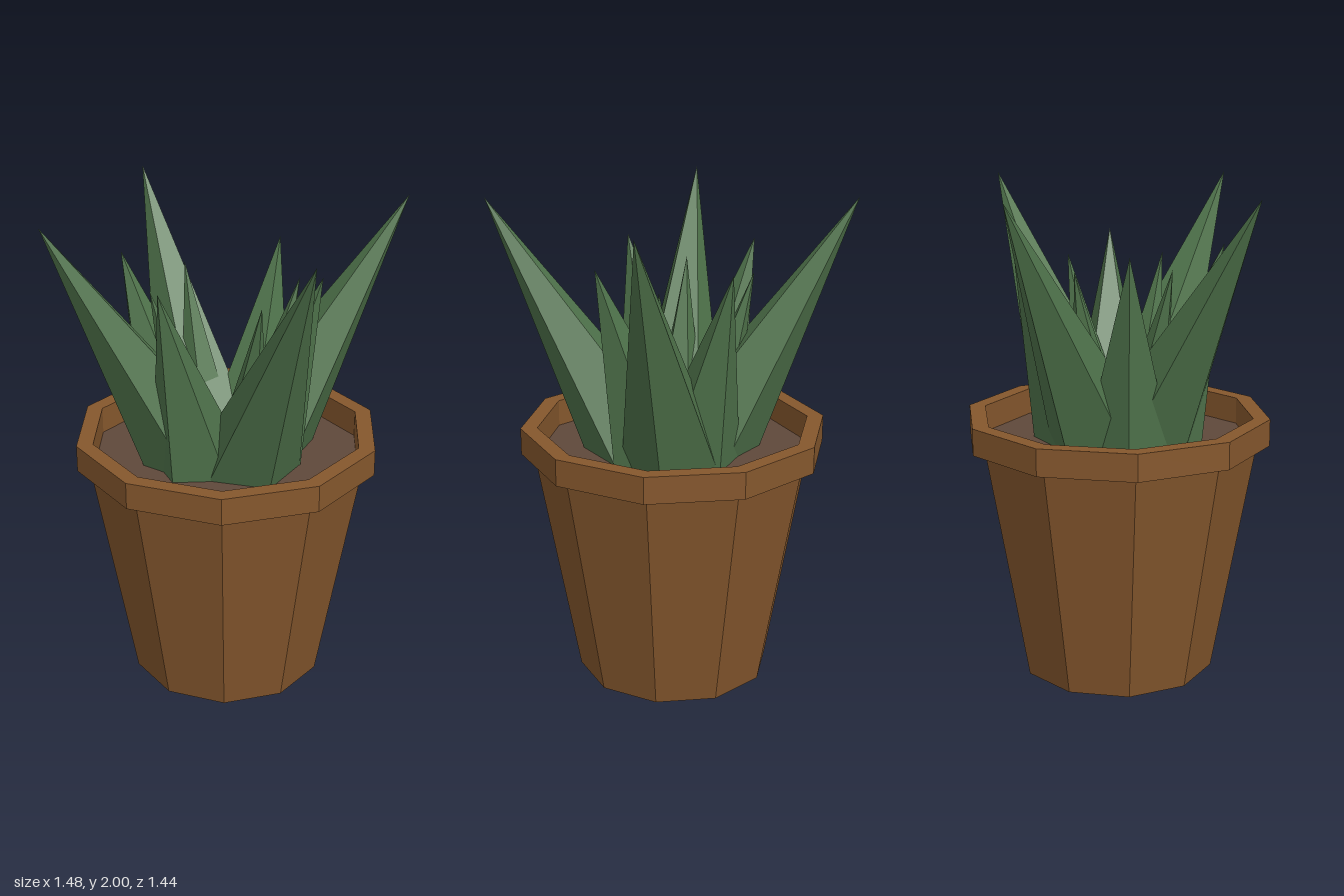
import * as THREE from 'three';

const SIDES = 10;
const mat = (color) => new THREE.MeshStandardMaterial({ color, flatShading: true });

export function createModel() {
  const model = new THREE.Group();
  const clay = mat(0x85572d);
  const earth = mat(0x5f483b);
  const green = mat(0x4f734b);

  // Tapered ten-sided pot with a squared rim and a short inner wall
  const profile = [
    [0, 0], [0.4, 0], [0.573, 0.97], [0.625, 0.97],
    [0.625, 1.08], [0.557, 1.08], [0.557, 0.96],
  ].map(([r, y]) => new THREE.Vector2(r, y));
  const pot = new THREE.Mesh(new THREE.LatheGeometry(profile, SIDES, Math.PI / 2), clay);
  pot.name = 'pot';
  pot.position.set(-0.01, 0, -0.012);
  model.add(pot);

  // Soil inside the rim
  const soil = new THREE.Mesh(new THREE.CircleGeometry(0.557, SIDES), earth);
  soil.name = 'soil';
  soil.rotation.x = -Math.PI / 2;
  soil.position.set(-0.01, 0.97, -0.012);
  model.add(soil);

  // A leaf is a five-sided spike, hung from its tip and leaning outward
  const addLeaf = (name, { radius, length, tilt }, [x, y, z], heading) => {
    const geometry = new THREE.ConeGeometry(radius, length, 5);
    geometry.translate(0, -length / 2, 0);
    geometry.rotateX(THREE.MathUtils.degToRad(tilt));
    geometry.rotateY(THREE.MathUtils.degToRad(heading));
    const leaf = new THREE.Mesh(geometry, green);
    leaf.name = name;
    leaf.position.set(x, y, z);
    model.add(leaf);
  };

  // Three rings of four leaves: [tip x, tip z, heading in degrees from +z]
  const rings = [
    {
      name: 'outerLeaf', height: 2, shape: { radius: 0.215, length: 1.2, tilt: 30 },
      leaves: [[0.1, 0.72, 6], [0.74, -0.01, 87], [-0.175, -0.72, 192], [-0.74, 0.02, 271]],
    },
    {
      name: 'middleLeaf', height: 1.78, shape: { radius: 0.19, length: 0.85, tilt: 18 },
      leaves: [[0.3, 0.235, 48], [0.3, -0.295, 132], [-0.37, -0.285, 228], [-0.35, 0.245, 312]],
    },
    {
      name: 'innerLeaf', height: 1.7, shape: { radius: 0.125, length: 0.76, tilt: 15 },
      leaves: [[0.04, 0.29, 8], [0.29, -0.01, 92], [-0.1, -0.32, 195], [-0.32, -0.01, 268]],
    },
  ];
  for (const { name, height, shape, leaves } of rings) {
    leaves.forEach(([x, z, heading], i) => addLeaf(name + (i + 1), shape, [x, height, z], heading));
  }

  return model;
}
